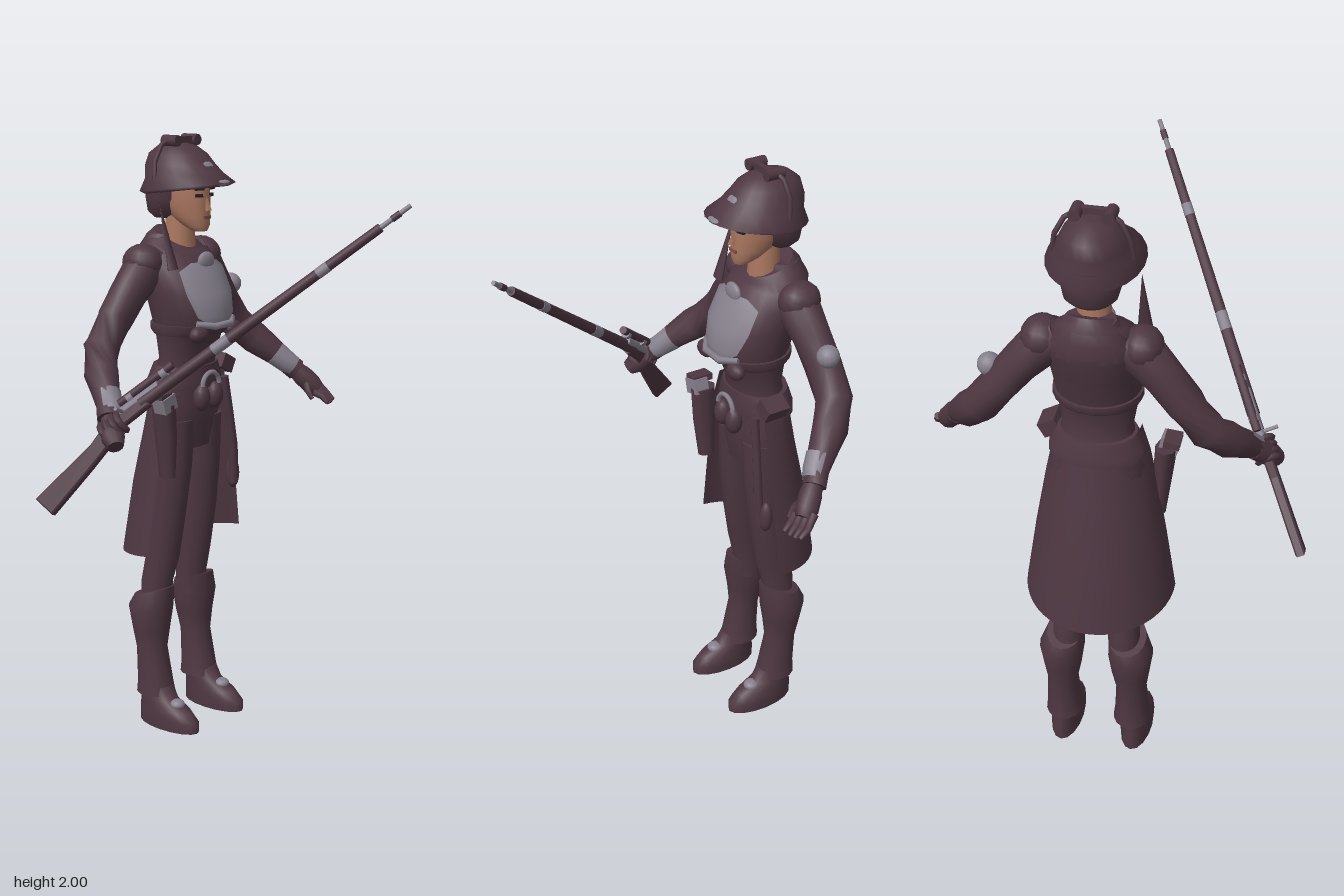
import * as THREE from 'three';

const CX = 0.04; // the body's plane of symmetry
const V = (x, y, z) => new THREE.Vector3(x, y, z);
const mat = (name, color, side = THREE.FrontSide) => {
  const m = new THREE.MeshStandardMaterial({ color, side });
  m.name = name;
  return m;
};

// Joins rings of points (ordered bottom to top) into a skin, with optional flat caps.
function skin(rings, closed = true, caps = true) {
  const pos = [], idx = [], n = rings[0].length, m = closed ? n : n - 1;
  rings.forEach(r => r.forEach(p => pos.push(p.x, p.y, p.z)));
  for (let i = 0; i < rings.length - 1; i++) for (let j = 0; j < m; j++) {
    const a = i * n + j, b = i * n + (j + 1) % n;
    idx.push(a, b, a + n, b, b + n, a + n);
  }
  if (closed && caps) [rings[0], rings.at(-1)].forEach((r, top) => {
    const c = pos.length / 3, mid = V(0, 0, 0);
    r.forEach(p => mid.addScaledVector(p, 1 / n));
    [mid, ...r].forEach(p => pos.push(p.x, p.y, p.z));
    for (let j = 0; j < n; j++) {
      const a = c + 1 + j, b = c + 1 + (j + 1) % n;
      top ? idx.push(c, a, b) : idx.push(c, b, a);
    }
  });
  const g = new THREE.BufferGeometry();
  g.setAttribute('position', new THREE.Float32BufferAttribute(pos, 3));
  g.setIndex(idx);
  g.computeVertexNormals();
  return g;
}

// Level elliptical sections: [x, y, z, rx, rz, tilt, half angle]; angle 0 faces the front.
function loft(secs, n = 20, open = false) {
  return skin(secs.map(([x, y, z, rx, rz, tilt = 0, half = Math.PI]) =>
    Array.from({ length: open ? n + 1 : n }, (_, j) => {
      const t = -half + 2 * half * j / n, dz = rz * Math.cos(t);
      return V(x + rx * Math.sin(t), y + tilt * dz, z + dz);
    })), !open);
}

// Round sections square to a path: [x, y, z, radius]
function limb(pts, n = 10) {
  const p = pts.map(a => V(a[0], a[1], a[2]));
  return skin(p.map((c, i) => {
    const t = p[Math.min(i + 1, p.length - 1)].clone().sub(p[Math.max(i - 1, 0)]).normalize();
    const q = new THREE.Quaternion().setFromUnitVectors(V(0, 1, 0), t);
    return Array.from({ length: n }, (_, j) => {
      const a = 2 * Math.PI * j / n, r = pts[i][3];
      return V(r * Math.sin(a), 0, r * Math.cos(a)).applyQuaternion(q).add(c);
    });
  }));
}

export function createModel() {
  const model = new THREE.Group();
  const cloth = mat('darkCloth', 0x4e3742), lining = mat('coatCloth', 0x4e3742, THREE.DoubleSide);
  const metal = mat('greyMetal', 0x86808c), plate = mat('greyPlate', 0x86808c, THREE.DoubleSide);
  const skinTone = mat('skin', 0xa9765f), dark = mat('darkDetail', 0x2b1d24), lip = mat('lips', 0x84504a);
  const add = (name, geo, m, parent = model) => {
    const mesh = new THREE.Mesh(geo, m);
    mesh.name = name;
    parent.add(mesh);
    return mesh;
  };
  const ball = (name, m, x, y, z, rx, ry, rz) => {
    const o = add(name, new THREE.SphereGeometry(1, 14, 10), m);
    o.position.set(x, y, z);
    o.scale.set(rx, ry, rz);
    return o;
  };
  const box = (name, m, x, y, z, w, h, d, rz = 0) => {
    const o = add(name, new THREE.BoxGeometry(w, h, d), m);
    o.position.set(x, y, z);
    o.rotation.z = rz;
    return o;
  };
  const mirror = s => a => [s > 0 ? a[0] : 2 * CX - a[0], ...a.slice(1)];

  // Torso, collar and hips
  add('jacket', loft([
    [CX, 1.22, -0.34, 0.12, 0.09], [CX, 1.28, -0.33, 0.107, 0.08], [CX, 1.36, -0.32, 0.12, 0.1],
    [CX, 1.42, -0.31, 0.132, 0.13], [CX, 1.5, -0.325, 0.142, 0.135], [CX, 1.57, -0.358, 0.148, 0.128],
    [CX, 1.62, -0.378, 0.135, 0.108], [CX, 1.655, -0.38, 0.1, 0.09, -0.3], [CX, 1.675, -0.375, 0.07, 0.07, -0.45]], 24), cloth);
  add('hood', loft([[CX, 1.58, -0.41, 0.12, 0.075], [CX, 1.64, -0.415, 0.11, 0.075],
    [CX, 1.685, -0.405, 0.075, 0.06]], 16), cloth);
  add('breastplate', loft([[CX, 1.4, -0.31, 0.13, 0.13, 0, 0.35], [CX, 1.43, -0.31, 0.138, 0.137, 0, 0.7],
    [CX, 1.5, -0.325, 0.147, 0.142, 0, 0.85], [CX, 1.575, -0.358, 0.152, 0.133, 0, 0.8],
    [CX, 1.6, -0.365, 0.145, 0.123, 0, 0.45]], 12, true), plate);
  ball('collarMedallion', metal, CX, 1.6, -0.245, 0.038, 0.032, 0.015);
  add('hips', loft([[CX, 0.98, -0.345, 0.125, 0.075], [CX, 1.06, -0.345, 0.14, 0.09],
    [CX, 1.14, -0.345, 0.145, 0.095], [CX, 1.24, -0.34, 0.12, 0.09]]), cloth);
  add('belt', loft([[CX, 1.185, -0.345, 0.148, 0.104], [CX, 1.21, -0.343, 0.147, 0.104],
    [CX, 1.26, -0.338, 0.122, 0.095]]), cloth);
  add('chestStrap', loft([[CX, 1.365, -0.315, 0.13, 0.112], [CX, 1.38, -0.315, 0.136, 0.128],
    [CX, 1.4, -0.312, 0.136, 0.13]]), cloth);
  add('chestStrapTrim', limb([[-0.05, 1.41, -0.21, 0.01], [0.0, 1.4, -0.175, 0.012], [0.08, 1.4, -0.175, 0.012],
    [0.13, 1.41, -0.21, 0.01]], 8), metal);
  for (const s of [-1, 1]) ball('chestPouch', cloth, CX + s * 0.085, 1.375, -0.205, 0.038, 0.028, 0.025);

  // Long coat skirt, open at the front
  add('coatSkirt', loft([[CX, 0.645, -0.315, 0.238, 0.235, 0.13, -1], [CX, 0.86, -0.305, 0.205, 0.205, 0, -1],
    [CX, 1.05, -0.295, 0.172, 0.172, 0, -1], [CX, 1.16, -0.29, 0.15, 0.157, 0, -1], [CX, 1.25, -0.29, 0.124, 0.138, 0, -1]]
    .map(([x, y, z, rx, rz, tilt], i) => [x, y - (i ? 0 : 0.003), z, rx, -rz, -tilt * -1, 1.62]), 24, true), lining);

  // Legs, boots, shoes and arms, built once and mirrored
  for (const s of [1, -1]) {
    const f = mirror(s), side = s > 0 ? 'left' : 'right';
    add(side + 'Leg', loft([[0.13, 0.42, -0.4, 0.05, 0.055], [0.13, 0.5, -0.4, 0.052, 0.056],
      [0.122, 0.6, -0.378, 0.053, 0.062], [0.12, 0.75, -0.36, 0.06, 0.07], [0.113, 0.92, -0.347, 0.066, 0.08],
      [0.108, 1.08, -0.345, 0.07, 0.088]].map(f), 16), cloth);
    add(side + 'Boot', loft([[0.155, 0.11, -0.39, 0.062, 0.07], [0.155, 0.15, -0.392, 0.057, 0.064],
      [0.155, 0.27, -0.405, 0.05, 0.055], [0.153, 0.34, -0.408, 0.062, 0.066], [0.153, 0.42, -0.408, 0.073, 0.08],
      [0.143, 0.475, -0.4, 0.06, 0.074, 0.3]].map(f), 16), cloth);
    add(side + 'Shoe', loft([[0.16, 0, -0.325, 0.052, 0.125], [0.16, 0.035, -0.325, 0.054, 0.125],
      [0.16, 0.065, -0.34, 0.05, 0.108], [0.158, 0.095, -0.37, 0.047, 0.075], [0.156, 0.14, -0.385, 0.048, 0.062]].map(f), 16), cloth);
    ball(side + 'ShoeBuckle', metal, f([0.16])[0], 0.085, -0.29, 0.026, 0.018, 0.028);

    add(side + 'Sleeve', limb([[0.13, 1.605, -0.385, 0.06], [0.19, 1.57, -0.388, 0.068], [0.25, 1.505, -0.395, 0.06],
      [0.31, 1.43, -0.4, 0.058], [0.375, 1.345, -0.4, 0.058], [0.43, 1.28, -0.35, 0.055],
      [0.465, 1.235, -0.3, 0.045], [0.5, 1.19, -0.255, 0.034]].map(f), 12), cloth);
    ball(side + 'ShoulderCap', cloth, f([0.185])[0], 1.6, -0.388, 0.062, 0.06, 0.07);
    add(side + 'WristPlate', limb([[0.468, 1.228, -0.29, 0.044], [0.492, 1.195, -0.255, 0.039],
      [0.506, 1.18, -0.24, 0.036]].map(f)), metal);
    add(side + 'Cuff', limb([[0.495, 1.195, -0.262, 0.037], [0.52, 1.165, -0.235, 0.038]].map(f)), cloth);
    add(side + 'Palm', limb([[0.51, 1.175, -0.24, 0.028], [0.53, 1.145, -0.215, 0.036], [0.55, 1.115, -0.19, 0.036],
      [0.562, 1.097, -0.17, 0.026]].map(f)), cloth);
  }
  ball('armGuard', metal, 0.345, 1.48, -0.39, 0.036, 0.036, 0.036);

  // Open left hand
  for (let i = 0; i < 4; i++) {
    const o = (i - 1.5) * 0.019;
    add('leftFinger', limb([[0.556 + o, 1.105 + o * 0.4, -0.18 - o * 0.5, 0.013], [0.57 + o, 1.08, -0.15 - o * 0.4, 0.012],
      [0.572 + o, 1.05 + Math.abs(o) * 0.3, -0.125 - o * 0.3, 0.008]], 7), cloth);
  }
  add('leftThumb', limb([[0.53, 1.14, -0.2, 0.016], [0.505, 1.1, -0.175, 0.012], [0.505, 1.075, -0.155, 0.008]], 7), cloth);

  // Neck, face and hair
  add('neck', new THREE.CylinderGeometry(0.044, 0.055, 0.15, 14).translate(CX, 1.685, -0.355), skinTone);
  add('face', loft([[CX, 1.697, -0.27, 0.024, 0.025], [CX, 1.715, -0.285, 0.042, 0.046], [CX, 1.745, -0.31, 0.056, 0.072],
    [CX, 1.79, -0.33, 0.068, 0.092], [CX, 1.83, -0.34, 0.07, 0.1], [CX, 1.88, -0.345, 0.068, 0.1]], 18), skinTone);
  const nose = add('nose', new THREE.ConeGeometry(0.014, 0.055, 4), skinTone);
  nose.position.set(CX, 1.79, -0.238);
  nose.rotation.x = -0.2;
  box('mouth', lip, CX, 1.742, -0.24, 0.034, 0.01, 0.009);
  for (const s of [-1, 1]) {
    box('eye', dark, CX + s * 0.03, 1.812, -0.246, 0.026, 0.01, 0.008).rotation.y = s * 0.35;
    box('eyebrow', dark, CX + s * 0.031, 1.832, -0.243, 0.032, 0.006, 0.008).rotation.y = s * 0.35;
  }
  add('hair', loft([[CX, 1.735, -0.4, 0.055, 0.045], [CX, 1.755, -0.395, 0.078, 0.07], [CX, 1.8, -0.385, 0.09, 0.086],
    [CX, 1.88, -0.38, 0.092, 0.09]], 18), cloth);

  // Pointed, brimmed helmet with goggles on top
  const brim = loft([[CX, 1.825, -0.325, 0.125, 0.145, 0.12], [CX, 1.835, -0.32, 0.142, 0.165, 0.12],
    [CX, 1.87, -0.335, 0.115, 0.135, 0.1], [CX, 1.905, -0.352, 0.1, 0.122, 0.05], [CX, 1.94, -0.358, 0.083, 0.103],
    [CX, 1.965, -0.36, 0.053, 0.068], [CX, 1.975, -0.36, 0.02, 0.025]], 22);
  add('helmet', brim, cloth);
  const badge = ball('helmetBadge', metal, CX, 1.9, -0.232, 0.028, 0.024, 0.01);
  badge.rotation.x = -0.6;
  ball('visorTip', metal, CX, 1.855, -0.178, 0.035, 0.01, 0.022);
  for (const s of [-1, 1]) {
    const x = v => CX + s * v;
    add('goggleStrap', limb([[x(0.115), 1.86, -0.36, 0.007], [x(0.105), 1.92, -0.365, 0.008], [x(0.078), 1.97, -0.36, 0.008],
      [x(0.045), 1.988, -0.35, 0.008]], 7), cloth);
    const lens = add('goggleLens', new THREE.CylinderGeometry(0.018, 0.018, 0.06, 10), cloth);
    lens.position.set(x(0.048), 1.982, -0.345);
    lens.rotation.x = Math.PI / 2;
  }
  box('goggleBridge', cloth, CX, 1.984, -0.335, 0.09, 0.02, 0.018);

  // Shoulder spike, pouches, holster and hanging straps
  const spike = add('shoulderSpike', new THREE.ConeGeometry(0.024, 0.22, 5), cloth);
  spike.position.set(-0.09, 1.69, -0.3);
  spike.scale.z = 0.5;
  spike.rotation.x = -0.25;
  for (const s of [-1, 1]) ball('beltPouch', cloth, CX + s * 0.033, 1.155, -0.24, 0.029, 0.045, 0.028);
  const ring = add('beltRing', new THREE.TorusGeometry(0.042, 0.008, 6, 16, Math.PI), metal);
  ring.position.set(CX, 1.195, -0.228);
  box('leftBeltPouch', cloth, 0.185, 1.24, -0.31, 0.06, 0.05, 0.08, -0.5);
  add('holster', loft([[-0.135, 0.91, -0.27, 0.022, 0.03], [-0.145, 1.05, -0.265, 0.03, 0.042],
    [-0.155, 1.16, -0.265, 0.034, 0.045]], 8), cloth);
  box('holsterHandle', metal, -0.165, 1.165, -0.25, 0.06, 0.05, 0.05, 0.3);
  box('holsterGrip', cloth, -0.175, 1.188, -0.265, 0.05, 0.022, 0.07, 0.1);
  add('hangingStrap', limb([[0.2, 0.82, -0.265, 0.018], [0.195, 0.95, -0.26, 0.016], [0.175, 1.08, -0.262, 0.015],
    [0.155, 1.2, -0.265, 0.014]], 6), cloth);
  ball('hangingPouch', cloth, 0.215, 0.85, -0.28, 0.025, 0.055, 0.022);

  // Rifle: local y runs to the muzzle, local x points to its underside
  const rifle = new THREE.Group();
  rifle.name = 'rifle';
  const Y = V(0.473, 0.68, 0.765).normalize();
  const Z = V(-0.1, -0.71, 0.7).cross(Y).normalize();
  rifle.quaternion.setFromRotationMatrix(new THREE.Matrix4().makeBasis(Y.clone().cross(Z), Y, Z));
  rifle.position.set(-0.45, 1.15, -0.22);
  model.add(rifle);
  const rod = (name, m, r0, r1, y0, y1, x = 0, z = 0) =>
    add(name, new THREE.CylinderGeometry(r1, r0, y1 - y0, 10).translate(x, (y0 + y1) / 2, z), m, rifle);
  const stock = new THREE.Shape([[-0.014, 0.14], [-0.016, 0.02], [0.02, -0.08], [0.058, -0.32], [0.122, -0.3],
    [0.075, -0.12], [0.045, -0.02], [0.024, 0.04], [0.02, 0.14]].map(p => new THREE.Vector2(...p)));
  add('stock', new THREE.ExtrudeGeometry(stock, { depth: 0.02, bevelSize: 0.005, bevelThickness: 0.005, bevelSegments: 1 })
    .translate(0, 0, -0.01), cloth, rifle);
  rod('foreStock', cloth, 0.02, 0.014, 0.12, 1.02);
  rod('barrel', metal, 0.008, 0.007, 1.0, 1.127);
  rod('muzzleRing', cloth, 0.01, 0.01, 1.06, 1.09);
  rod('lowerBand', metal, 0.0185, 0.0185, 0.4, 0.46);
  rod('upperBand', metal, 0.0165, 0.0165, 0.79, 0.83);
  rod('receiver', metal, 0.017, 0.017, 0.02, 0.2, -0.012);
  rod('sight', cloth, 0.013, 0.013, 0.06, 0.27, -0.042);
  for (const y of [0.09, 0.22]) rod('sightMount', metal, 0.016, 0.016, y, y + 0.02, -0.036);
  const bolt = rod('bolt', metal, 0.006, 0.006, -0.03, 0.03);
  bolt.rotation.x = Math.PI / 2;
  bolt.position.set(-0.01, 0.06, 0.03);

  // Right fingers wrapped round the grip
  for (let i = 0; i < 4; i++) {
    const finger = add('rightFinger', new THREE.TorusGeometry(0.031, 0.011, 6, 12, 4.6), cloth, rifle);
    finger.rotation.x = Math.PI / 2;
    finger.position.set(0.012, 0.04 - i * 0.021, 0);
  }
  return model;
}
